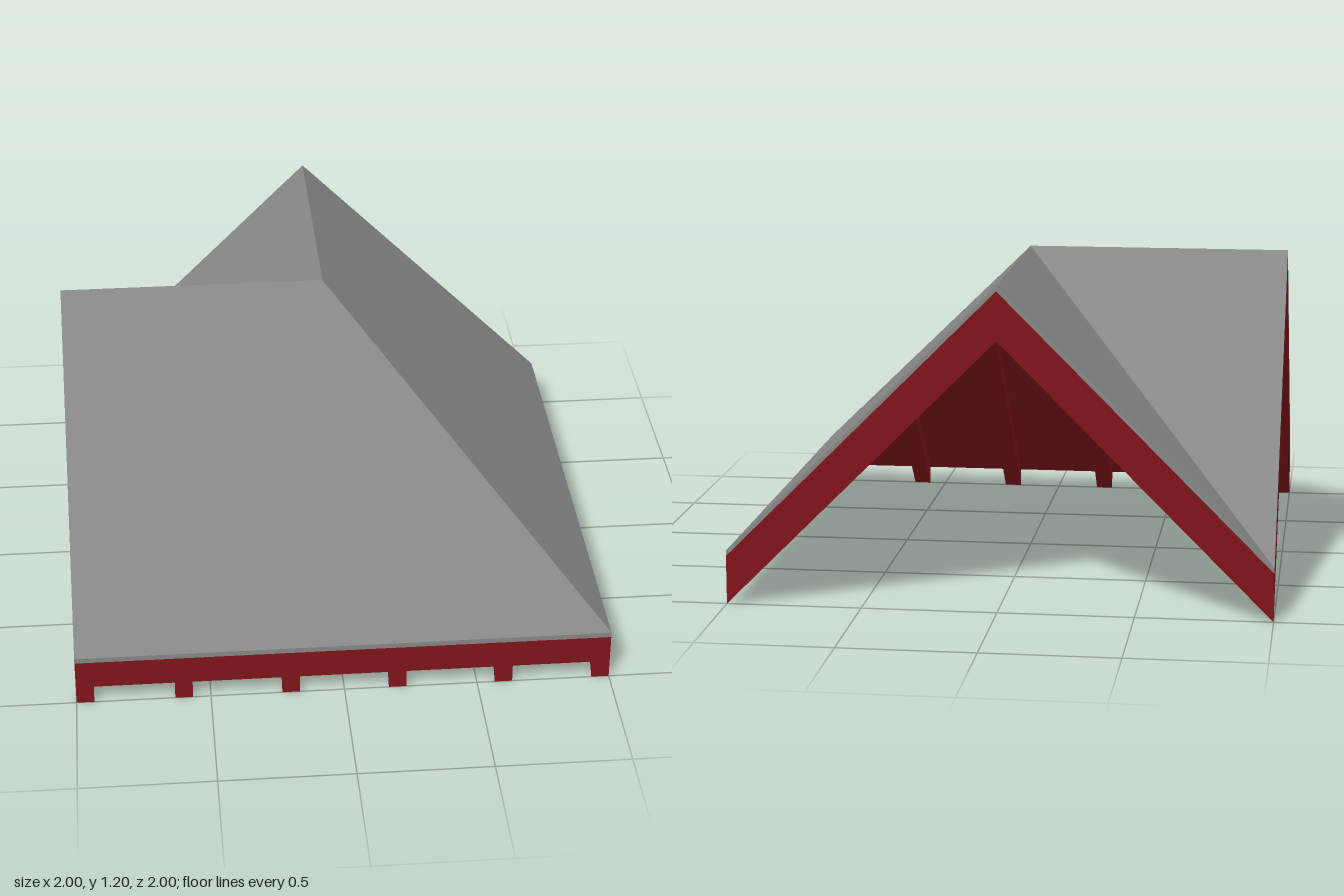
import * as THREE from 'three';

const RIDGE = 1.2;
// height of the roof surface: two gables meeting in a hip and a valley
const roofY = (x, z) => RIDGE - Math.abs(Math.max(x, z));
// the other wing is the mirror image across the hip-valley diagonal
const mirror = poly => poly.map(([x, z]) => [z, x]).reverse();
const withMirror = polys => [...polys, ...polys.map(mirror)];
const onRim = (p, q) => [0, 1].some(i => p[i] === q[i] && Math.abs(p[i]) === 1);

// Slab hanging under the roof surface between two vertical depths.
// polys are plan outlines [x, z], counter-clockwise from above.
function slab(name, polys, d0, d1, material, { upper = false, lower = false, rimOnly = false }) {
  const pos = [];
  const at = ([x, z], d) => [x, roofY(x, z) - d, z];
  const tri = (a, b, c) => pos.push(...a, ...b, ...c);
  for (const poly of polys) {
    const top = poly.map(p => at(p, d0));
    const bottom = poly.map(p => at(p, d1));
    for (let i = 1; i < poly.length - 1; i++) {
      if (upper) tri(top[0], top[i], top[i + 1]);
      if (lower) tri(bottom[0], bottom[i + 1], bottom[i]);
    }
    for (let i = 0; i < poly.length; i++) {
      const j = (i + 1) % poly.length;
      if (rimOnly && !onRim(poly[i], poly[j])) continue;
      tri(bottom[i], bottom[j], top[j]);
      tri(bottom[i], top[j], top[i]);
    }
  }
  const geometry = new THREE.BufferGeometry();
  geometry.setAttribute('position', new THREE.Float32BufferAttribute(pos, 3));
  geometry.computeVertexNormals();
  const mesh = new THREE.Mesh(geometry, material);
  mesh.name = name;
  return mesh;
}

export function createModel() {
  const group = new THREE.Group();
  group.name = 'cornerRoof';
  const grey = new THREE.MeshStandardMaterial({ color: 0x888888, flatShading: true });
  const red = new THREE.MeshStandardMaterial({ color: 0x80151b, flatShading: true });

  // outer slope up to the hip, inner slope down to the valley
  const slopes = withMirror([
    [[-1, 0], [-1, 1], [1, 1], [0, 0]],
    [[-1, -1], [-1, 0], [0, 0]],
  ]);
  group.add(slab('roofCovering', slopes, 0, 0.02, grey, { upper: true, rimOnly: true }));
  group.add(slab('roofBoards', slopes, 0.02, 0.13, red, { lower: true, rimOnly: true }));

  // rafters run down each slope, mitred at hip and valley
  const width = 0.066;
  const rafters = new THREE.Group();
  rafters.name = 'rafters';
  for (const centre of [-1 + width / 2, -0.6, -0.2, 0.2, 0.6, 1 - width / 2]) {
    const a = Math.max(-1, centre - width / 2);
    const b = Math.min(1, centre + width / 2);
    const strips = [[[a, Math.max(a, 0)], [a, 1], [b, 1], [b, Math.max(b, 0)]]];
    if (b < 0) strips.push([[a, a], [a, 0], [b, 0], [b, b]]);
    rafters.add(slab('rafter', withMirror(strips), 0.13, 0.2, red, { lower: true }));
  }
  group.add(rafters);
  return group;
}
